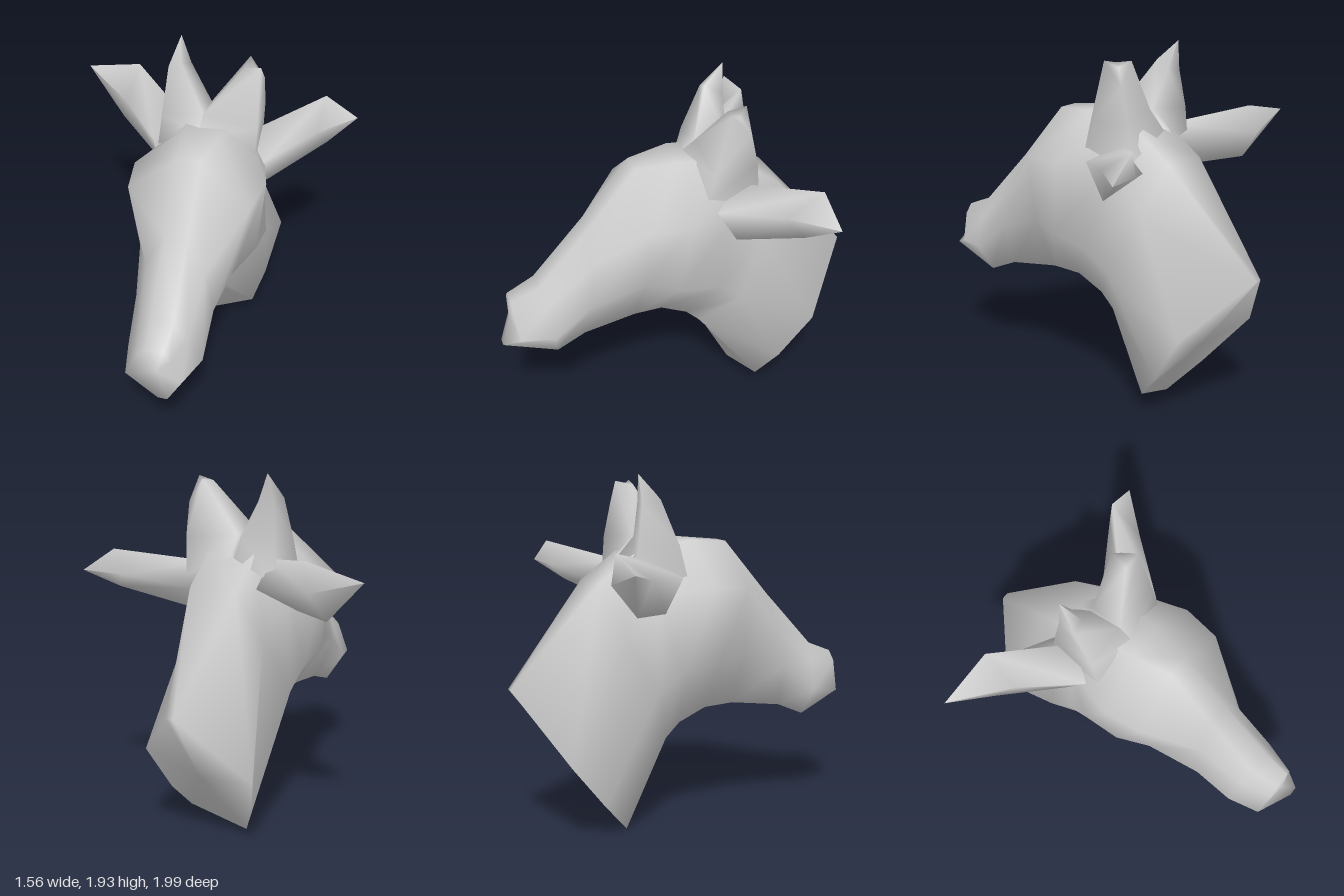
import * as THREE from 'three';

const material = new THREE.MeshStandardMaterial({ color: 0xcccccc, side: THREE.DoubleSide });

// Skins a surface over rings of points; the listed ends are fanned shut.
// Rings run clockwise as seen from the first end.
function loft(name, rings, closedRings) {
  const n = rings[0].length;
  const pos = rings.flat(2);
  const index = [];
  for (let r = 0; r < rings.length - 1; r++) {
    for (let i = 0; i < n; i++) {
      const a = r * n + i, b = r * n + (i + 1) % n;
      index.push(a, b, a + n, b, b + n, a + n);
    }
  }
  closedRings.forEach((r) => {
    const c = pos.length / 3;
    for (let k = 0; k < 3; k++) pos.push(rings[r].reduce((s, p) => s + p[k], 0) / n);
    for (let i = 0; i < n; i++) {
      const a = r * n + i, b = r * n + (i + 1) % n;
      index.push(...(r === 0 ? [b, a, c] : [a, b, c]));
    }
  });
  // Turn the faces outwards if they enclose a negative volume about the first point.
  const v = (i) => new THREE.Vector3().fromArray(pos, i * 3).sub(new THREE.Vector3(...rings[0][0]));
  let volume = 0;
  for (let i = 0; i < index.length; i += 3) {
    volume += v(index[i]).dot(v(index[i + 1]).cross(v(index[i + 2])));
  }
  if (volume < 0) index.reverse();
  const geometry = new THREE.BufferGeometry();
  geometry.setAttribute('position', new THREE.Float32BufferAttribute(pos, 3));
  geometry.setIndex(index);
  geometry.computeVertexNormals();
  const mesh = new THREE.Mesh(geometry, material);
  mesh.name = name;
  return mesh;
}

// Ring in a plane from a top point to a bottom point (z, y);
// sides lists [fraction down, half width] from top to bottom.
function section(cx, [tz, ty], [bz, by], sides) {
  const at = (s) => ([f, w]) => [cx + s * w, ty + (by - ty) * f, tz + (bz - tz) * f];
  return [...sides.map(at(1)), ...sides.map(at(-1)).reverse()];
}

const point = (p) => [p, p, p, p];

export function createModel() {
  const model = new THREE.Group();
  model.name = 'animalBust';

  // Uneven rings at the two ends: the lips and the slanted cut of the neck
  const lips = [
    [0.12, 0.88, 0.92], [0.16, 0.83, 0.92], [0.21, 0.68, 0.9], [0.16, 0.64, 0.99],
    [0.11, 0.64, 0.99], [-0.09, 0.67, 0.9], [-0.02, 0.83, 0.92], [0.03, 0.88, 0.92],
  ];
  const cut = [
    [0.08, 0.82, -1.0], [0.37, 0.52, -0.73], [0.32, 0.25, -0.56], [0.27, 0.11, -0.44],
    [-0.04, 0.0, -0.39], [-0.15, 0.18, -0.55], [-0.27, 0.45, -0.77], [0.04, 0.82, -1.0],
  ];

  // Muzzle, skull and neck
  model.add(loft('headAndNeck', [
    lips,
    section(0.07, [0.77, 0.94], [0.70, 0.54], [[0, 0.06], [0.25, 0.13], [0.62, 0.2], [1, 0.11]]),
    section(0.06, [0.48, 1.25], [0.54, 0.61], [[0, 0.06], [0.28, 0.16], [0.62, 0.21], [1, 0.11]]),
    section(0.055, [0.22, 1.555], [0.25, 0.65], [[0, 0.06], [0.25, 0.33], [0.65, 0.27], [1, 0.1]]),
    section(0.055, [0.0, 1.575], [0.09, 0.635], [[0, 0.1], [0.25, 0.36], [0.68, 0.33], [1, 0.08]]),
    section(0.06, [-0.32, 1.53], [-0.06, 0.56], [[0, 0.13], [0.22, 0.28], [0.65, 0.33], [1, 0.07]]),
    section(0.06, [-0.55, 1.36], [-0.14, 0.48], [[0, 0.13], [0.3, 0.22], [0.65, 0.31], [1, 0.07]]),
    cut,
  ], [0, 7]));

  // Ears: ring order is up, front, down, back; they start at the skull
  model.add(loft('leftEar', [
    [[0.24, 1.44, -0.28], [0.36, 1.36, -0.14], [0.36, 1.17, -0.25], [0.25, 1.32, -0.42]],
    [[0.6, 1.535, -0.61], [0.59, 1.41, -0.42], [0.64, 1.31, -0.5], [0.56, 1.4, -0.6]],
    point([0.78, 1.41, -0.63]),
  ], []));
  model.add(loft('rightEar', [
    [[-0.14, 1.49, -0.3], [-0.25, 1.4, -0.14], [-0.27, 1.22, -0.25], [-0.13, 1.36, -0.44]],
    [[-0.47, 1.57, -0.6], [-0.49, 1.43, -0.41], [-0.55, 1.26, -0.52], [-0.5, 1.42, -0.635]],
    point([-0.78, 1.5, -0.62]),
  ], []));

  // Horns: ring order is outer front, inner front, inner back, outer back
  model.add(loft('leftHorn', [
    [[0.32, 1.4, -0.1], [0.03, 1.55, -0.04], [0.04, 1.5, -0.4], [0.3, 1.38, -0.39]],
    [[0.32, 1.56, -0.14], [0.03, 1.61, -0.13], [0.04, 1.6, -0.31], [0.31, 1.58, -0.37]],
    [[0.31, 1.88, -0.22], [0.22, 1.86, -0.23], [0.23, 1.88, -0.33], [0.31, 1.76, -0.33]],
  ], [2]));
  model.add(loft('rightHorn', [
    [[-0.21, 1.4, -0.1], [0.03, 1.55, -0.04], [0.02, 1.5, -0.4], [-0.2, 1.38, -0.39]],
    [[-0.2, 1.56, -0.14], [0.03, 1.61, -0.13], [0.02, 1.6, -0.31], [-0.2, 1.58, -0.37]],
    [[-0.19, 1.8, -0.24], [-0.12, 1.83, -0.24], [-0.09, 1.79, -0.33], [-0.18, 1.78, -0.34]],
    point([-0.15, 1.935, -0.35]),
  ], []));

  return model;
}
